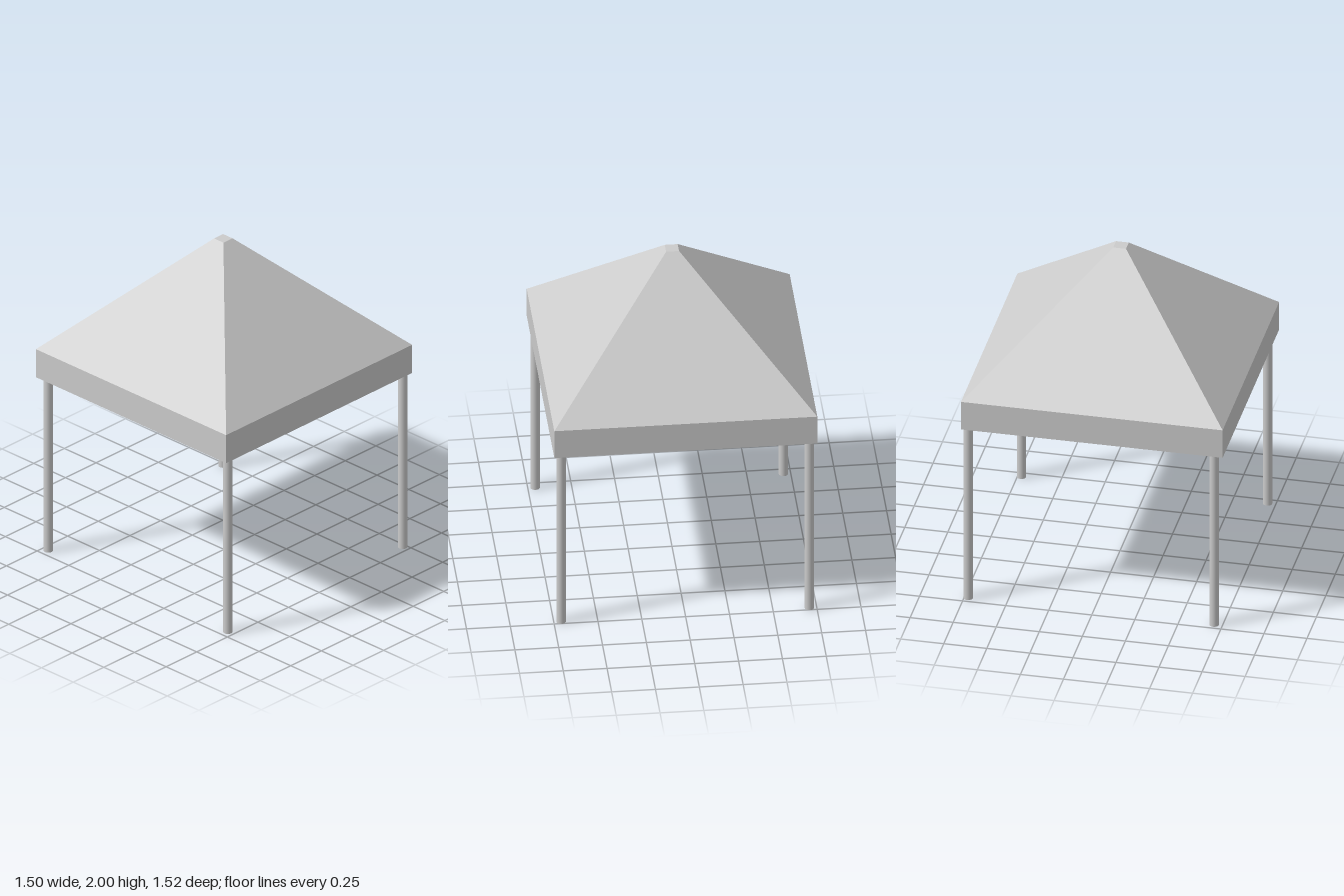
import * as THREE from 'three';

const material = new THREE.MeshStandardMaterial({ color: 0xcccccc });
const flatMaterial = new THREE.MeshStandardMaterial({ color: 0xcccccc, flatShading: true });

// Rectangular rings [halfX, y, halfZ, centreZ], skinned in order with flat quads
// and capped at both ends.
function ringSkin(rings) {
  const corners = rings.map(([x, y, z, cz]) =>
    [[x, y, cz + z], [x, y, cz - z], [-x, y, cz - z], [-x, y, cz + z]]);
  const positions = [];
  const quad = (a, b, c, d) => positions.push(...a, ...b, ...c, ...a, ...c, ...d);
  for (let r = 0; r < corners.length - 1; r++) {
    for (let i = 0; i < 4; i++) {
      const j = (i + 1) % 4;
      quad(corners[r][i], corners[r][j], corners[r + 1][j], corners[r + 1][i]);
    }
  }
  quad(...corners[corners.length - 1]);
  quad(...corners[0].reverse());
  const geometry = new THREE.BufferGeometry();
  geometry.setAttribute('position', new THREE.Float32BufferAttribute(positions, 3));
  geometry.computeVertexNormals();
  return geometry;
}

export function createModel() {
  const model = new THREE.Group();
  model.name = 'canopyTent';

  // Canopy: steep hollow underside down to the hem, straight valance, sloping roof, flat tip
  const halfX = 0.75, halfZ = 0.76, tip = 0.037, tipZ = 0.006;
  const canopy = new THREE.Mesh(ringSkin([
    [tip, 1.99, tip, tipZ],
    [halfX, 1.12, halfZ, 0],
    [halfX, 1.3, halfZ, 0],
    [tip, 2, tip, tipZ],
  ]), flatMaterial);
  canopy.name = 'canopy';
  model.add(canopy);

  // Four round corner poles, the back pair a little nearer the edge
  const poleHeight = 1.14;
  const poleGeometry = new THREE.CylinderGeometry(0.027, 0.027, poleHeight, 20);
  for (const [name, z] of [['front', 0.702], ['back', -0.727]]) {
    for (const side of [1, -1]) {
      const pole = new THREE.Mesh(poleGeometry, material);
      pole.name = name + (side > 0 ? 'Left' : 'Right') + 'Pole';
      pole.position.set(side * 0.708, poleHeight / 2, z);
      model.add(pole);
    }
  }
  return model;
}
